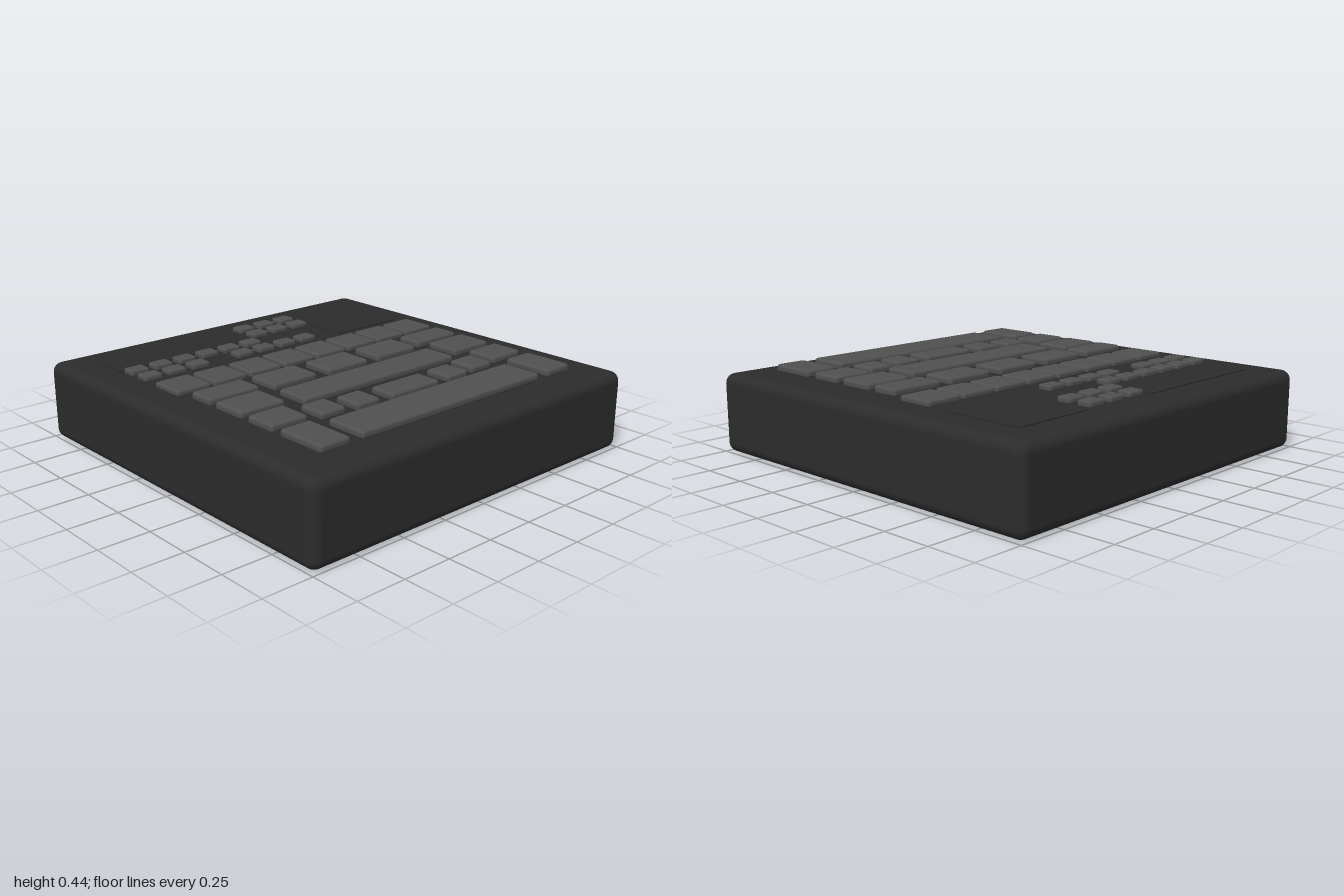
import * as THREE from 'three';
import { RoundedBoxGeometry } from 'three/addons/geometries/RoundedBoxGeometry.js';

const charcoal = new THREE.MeshStandardMaterial({ name: 'charcoal', color: 0x2c2c2c });
const keyGrey = new THREE.MeshStandardMaterial({ name: 'keyGrey', color: 0x505050 });
const TOP = 0.396;

export function createModel() {
  const model = new THREE.Group();
  model.name = 'buttonConsole';

  // Rounded block given by its x, y and z ranges
  const block = (name, x0, x1, y0, y1, z0, z1, radius, material, parent, segments = 3) => {
    const geometry = new RoundedBoxGeometry(x1 - x0, y1 - y0, z1 - z0, segments, radius);
    const mesh = new THREE.Mesh(geometry, material);
    mesh.position.set((x0 + x1) / 2, (y0 + y1) / 2, (z0 + z1) / 2);
    mesh.name = name;
    parent.add(mesh);
  };
  const group = (name) => {
    const g = new THREE.Group();
    g.name = name;
    model.add(g);
    return g;
  };

  // Case
  block('case', -1, 1, 0, TOP, -1, 1, 0.05, charcoal, model, 5);

  // Thin plates at the back
  const panels = group('panels');
  const plate = (name, x0, x1, z0, z1) => {
    const mesh = new THREE.Mesh(new THREE.BoxGeometry(x1 - x0, 0.006, z1 - z0), charcoal);
    mesh.position.set((x0 + x1) / 2, TOP + 0.003, (z0 + z1) / 2);
    mesh.name = name;
    panels.add(mesh);
  };
  plate('rightPanel', -0.83, -0.03, -0.83, -0.61);
  plate('leftPanel', 0.41, 0.83, -0.83, -0.4);

  // Small buttons: column numbers on a shared grid, row by row
  const smallButtons = group('smallButtons');
  [[6, 7, 8], [6, 7, 8], [0, 1, 2, 3, 4, 5], [0, 1, 2, 4, 5, 6, 7]].forEach((columns, row) => {
    const z = -0.779 + row * 0.1145;
    for (const column of columns) {
      const x = -0.775 + column * 0.1375;
      block('smallButton', x - 0.05, x + 0.05, TOP - 0.002, 0.426, z - 0.038, z + 0.038, 0.012, keyGrey, smallButtons);
    }
  });

  // Row of eight square buttons
  const squareButtons = group('squareButtons');
  for (let i = 0; i < 8; i++) {
    const x = -0.737 + i * 0.2105;
    block('squareButton', x - 0.093, x + 0.093, TOP - 0.002, 0.426, -0.31, -0.123, 0.012, keyGrey, squareButtons);
  }

  // Large keys: x0, x1, z0, z1
  const keys = group('keys');
  const key = (name, x0, x1, z0, z1) =>
    block(name, x0, x1, TOP, 0.437, z0, z1, 0.016, keyGrey, keys);

  // Keys on the centre line
  key('topCentreKey', -0.13, 0.13, -0.06, 0.12);
  key('upperBar', -0.485, 0.485, 0.175, 0.357);
  key('lowerCentreKey', -0.155, 0.155, 0.43, 0.573);
  key('lowerBar', -0.573, 0.573, 0.608, 0.823);

  // Keys mirrored on both sides
  const sideKeys = [
    [0.52, 0.803, -0.058, 0.083],
    [0.2, 0.463, -0.06, 0.117],
    [0.555, 0.803, 0.12, 0.308],
    [0.603, 0.803, 0.35, 0.518],
    [0.41, 0.55, 0.4, 0.547],
    [0.22, 0.36, 0.42, 0.566],
    [0.637, 0.803, 0.565, 0.823],
  ];
  for (const [x0, x1, z0, z1] of sideKeys) {
    key('leftKey', x0, x1, z0, z1);
    key('rightKey', -x1, -x0, z0, z1);
  }
  return model;
}
